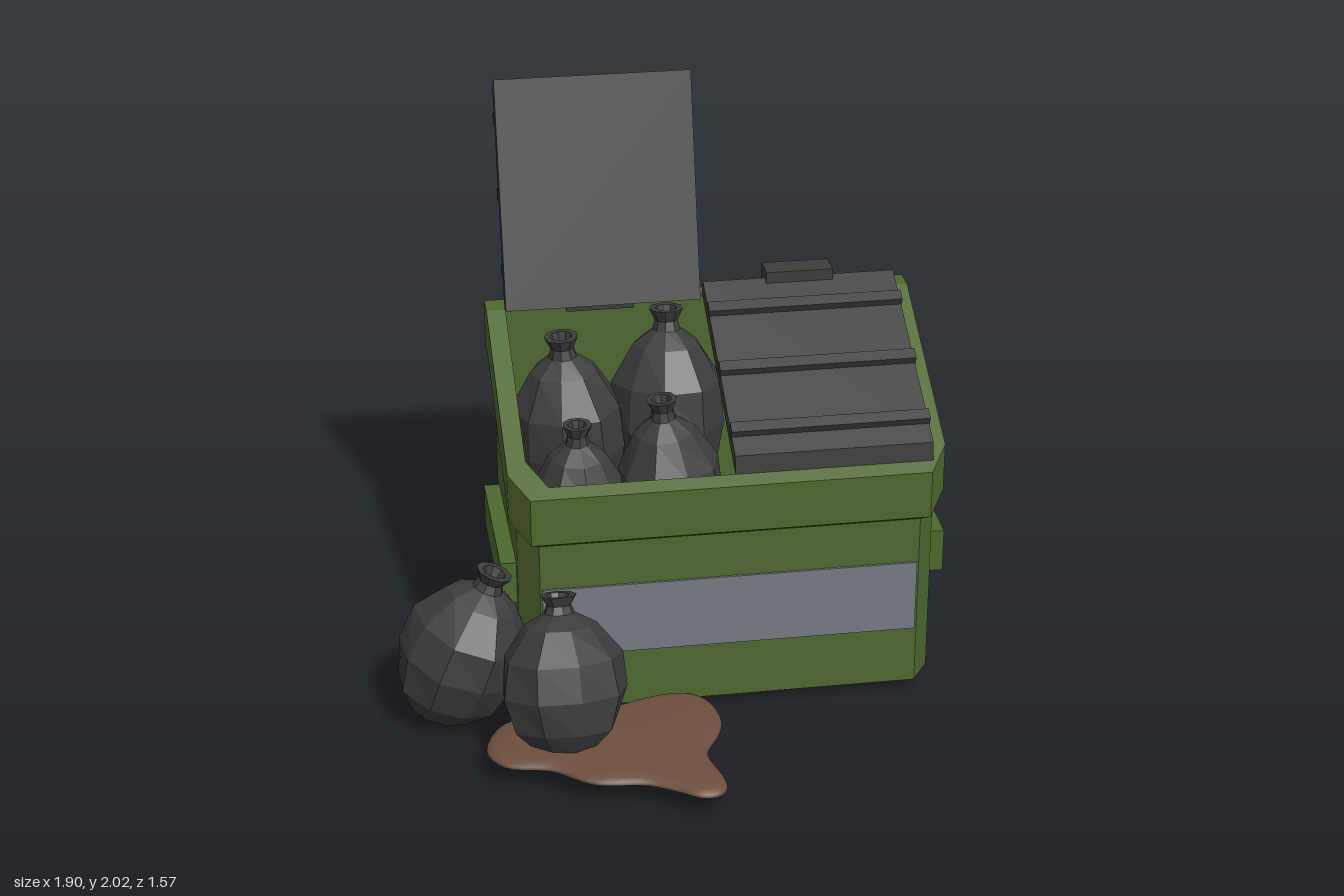
import * as THREE from 'three';

const mat = (name, color, extra = {}) => {
  const m = new THREE.MeshStandardMaterial({ color, ...extra });
  m.name = name;
  return m;
};

export function createModel() {
  const green = mat('green paint', 0x4e682e, { flatShading: true });
  const black = mat('dark plastic', 0x3d3d3d, { flatShading: true });
  const grey = mat('grey panel', 0x777986, { flatShading: true });
  const brown = mat('brown sludge', 0x6d4f3e);
  const root = new THREE.Group();
  root.name = 'dumpster';
  const CX = 0.172; // middle of the container in x

  const add = (name, geo, m, x = 0, y = 0, z = 0, parent = root) => {
    const mesh = new THREE.Mesh(geo, m);
    mesh.name = name;
    mesh.position.set(x, y, z);
    parent.add(mesh);
    return mesh;
  };
  const box = (name, m, w, h, d, x, y, z, parent) =>
    add(name, new THREE.BoxGeometry(w, h, d), m, x, y, z, parent);

  // Skin a stack of equal-length rings, capping both ends with a fan
  const loft = (rings) => {
    const n = rings[0].length, idx = [], last = rings.length - 1;
    const pos = rings.flat(2);
    rings.slice(1).forEach((_, k) => {
      for (let i = 0; i < n; i++) {
        const j = (i + 1) % n, a = k * n, b = a + n;
        idx.push(a + i, a + j, b + j, a + i, b + j, b + i);
      }
    });
    for (let i = 1; i < n - 1; i++) {
      idx.push(0, i + 1, i);
      idx.push(last * n, last * n + i, last * n + i + 1);
    }
    const g = new THREE.BufferGeometry();
    g.setAttribute('position', new THREE.Float32BufferAttribute(pos, 3));
    g.setIndex(idx);
    g.computeVertexNormals();
    return g;
  };

  // Container: chamfered plan, sloping rim, hollow inside
  const slope = (base) => (z) => base + Math.min((0.1 - z) * 0.5, 0.35);
  const flat = (y) => () => y;
  const plan = (w, zb, zf, y) => {
    const half = [[w, zb], [w, -0.6], [w, zf - 0.1], [w - 0.065, zf]];
    return [
      ...half.map(([x, z]) => [-x, y(z), z]),
      ...half.reverse().map(([x, z]) => [x, y(z), z]),
    ];
  };
  add('container', loft([
    plan(0.715, -0.675, 0.105, flat(0.02)),
    plan(0.715, -0.675, 0.1, slope(0.655)),
    plan(0.743, -0.685, 0.13, slope(0.69)),
    plan(0.743, -0.685, 0.13, slope(0.86)),
    plan(0.677, -0.615, 0.085, slope(0.86)),
    plan(0.65, -0.605, 0.05, flat(0.1)),
  ]), green, CX);

  // Front panel and side lifting pockets
  box('frontPanel', grey, 1.286, 0.26, 0.008, CX, 0.36, 0.105);
  for (const s of [-1, 1])
    box('sidePocket', green, 0.06, 0.155, 0.575, CX + s * 0.74, 0.4475, -0.322);

  // Lids: tapered slab with three ribs, pivoting at the back edge
  const lid = (name, x, y, z, angle) => {
    const g = new THREE.Group();
    g.name = name;
    g.position.set(x, y, z);
    g.rotation.x = angle;
    root.add(g);
    const w = 0.675;
    const ring = (zz, yy) => [[-w / 2, yy, 0], [-w / 2, yy, zz], [w / 2, yy, zz], [w / 2, yy, 0]];
    add('lidSlab', loft([ring(0.79, 0), ring(0.755, 0.055)]), black, 0, 0, 0, g);
    for (const d of [0.135, 0.395, 0.655])
      box('lidRib', black, w + 0.004, 0.034, 0.042, 0, 0.066, d, g);
  };
  lid('closedLid', 0.523, 1.222, -0.618, Math.atan(0.5));
  lid('openLid', -0.173, 1.24, -0.515, -1.865);
  for (const s of [-1, 1])
    box('hingeBlock', black, 0.235, 0.1, 0.09, CX + s * 0.35, 1.25, -0.615);

  // Tied rubbish bags: faceted lathe with slight lumps
  const profile = [[0, 0], [0.1, 0.004], [0.175, 0.08], [0.214, 0.2], [0.2, 0.32], [0.12, 0.425],
    [0.052, 0.465], [0.042, 0.492], [0.062, 0.525], [0.04, 0.525], [0.03, 0.495], [0, 0.495]]
    .map(([r, y]) => new THREE.Vector2(r, y - 0.25));
  const bag = (name, x, y, z, { r = 1, h = 1, rx = 0, rz = 0, turn = 0 }) => {
    const geo = new THREE.LatheGeometry(profile, 9);
    const p = geo.attributes.position;
    for (let i = 0; i < p.count; i++) {
      const a = Math.atan2(p.getZ(i), p.getX(i)), py = p.getY(i);
      const k = py < 0.2 ? 1 + 0.04 * Math.sin(3 * a + py * 9 + turn * 5) : 1;
      p.setXYZ(i, p.getX(i) * k * r, py * h, p.getZ(i) * k * r);
    }
    geo.rotateY(turn);
    const m = add(name, geo, black, x, y, z);
    m.rotation.set(rx, 0, rz);
  };
  bag('groundBagBack', -0.735, 0.265, 0.045, { r: 1.03, h: 1.08, rz: -0.38, turn: 0.3 });
  bag('groundBagFront', -0.432, 0.28, 0.315, { rx: -0.31, turn: 0.9 });
  bag('innerBagBackLeft', -0.318, 0.86, -0.375, { r: 0.95, h: 1.24, rz: 0.06, turn: 0.5 });
  bag('innerBagBackRight', 0.03, 0.92, -0.385, { r: 0.95, h: 1.24, rx: -0.12, turn: 1.2 });
  bag('innerBagFrontLeft', -0.32, 0.675, -0.1, { r: 0.82, h: 1.18, turn: 0.1 });
  bag('innerBagFrontRight', -0.01, 0.75, -0.09, { r: 0.86, h: 1.2, rz: 0.08, turn: 1.7 });

  // Sludge puddle: smooth closed outline with a rounded edge
  const outline = new THREE.CatmullRomCurve3([
    [-0.7, 0.4], [-0.65, 0.505], [-0.5, 0.55], [-0.37, 0.65], [-0.2, 0.68], [-0.1, 0.735],
    [-0.03, 0.78], [0.03, 0.775], [0.06, 0.72], [0.025, 0.53], [0.08, 0.42], [0.105, 0.33],
    [0.08, 0.21], [0.02, 0.15], [-0.1, 0.155], [-0.25, 0.2], [-0.45, 0.21], [-0.63, 0.25],
  ].map(([x, z]) => new THREE.Vector3(x, 0, z)), true).getPoints(72).slice(0, 72);
  const puddle = (s, y) => outline.map((p) => [-0.25 + (p.x + 0.25) * s, y, 0.4 + (p.z - 0.4) * s]);
  add('puddle', loft([
    puddle(0.01, 0.055), puddle(0.97, 0.055), puddle(1, 0.06), puddle(0.985, 0.07),
    puddle(0.93, 0.08), puddle(0.8, 0.085), puddle(0.01, 0.086),
  ]), brown);

  return root;
}
